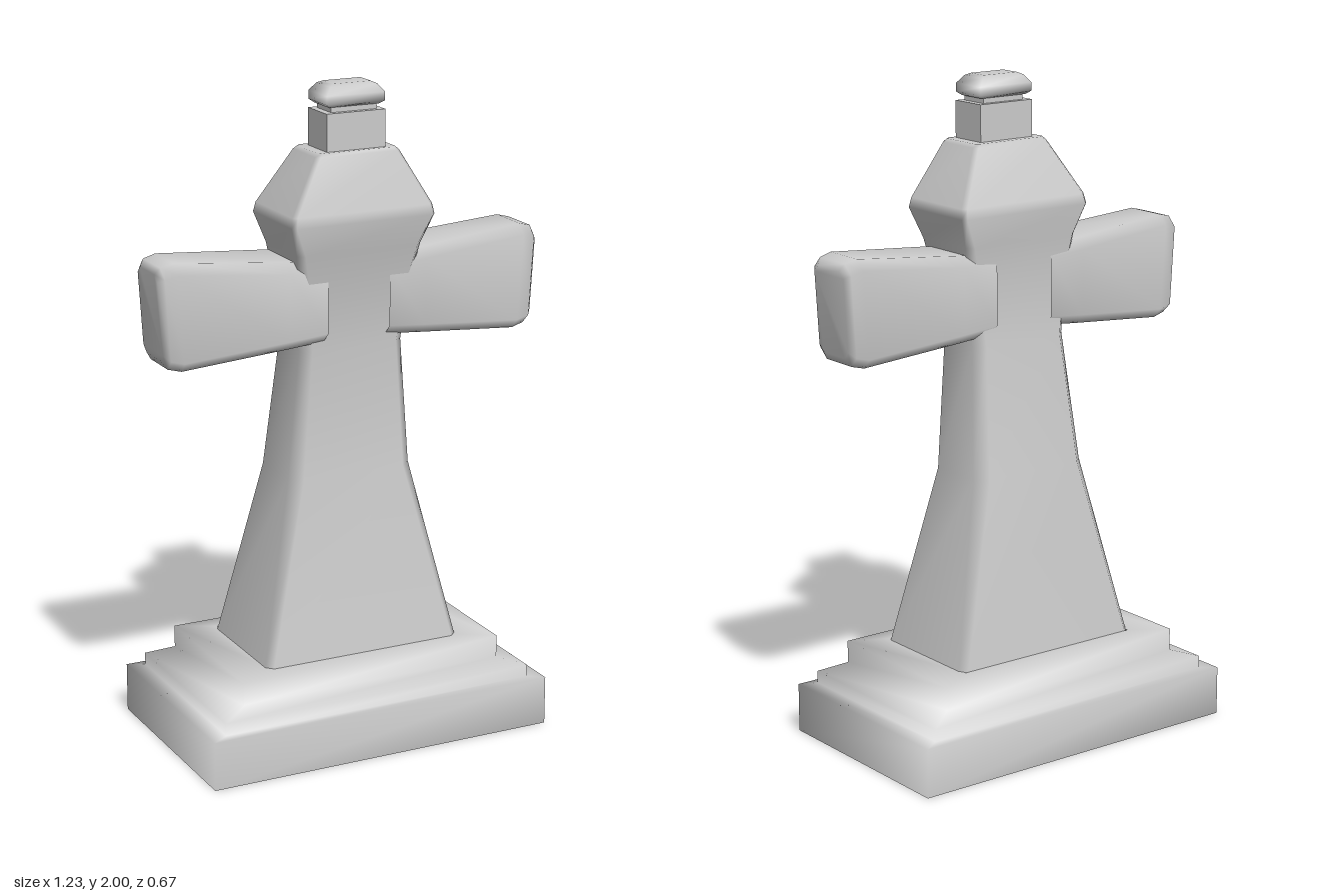
import * as THREE from 'three';

const material = new THREE.MeshStandardMaterial({ color: 0xcccccc, side: THREE.DoubleSide });

// Loft through rectangles [y, x0, x1, z0, z1, chamfer]; smooth normals, optional end caps
function loft(sections, { bottom = false, top = true } = {}) {
  const pos = [], idx = [];
  const n = sections[0][5] ? 8 : 4;
  for (const [y, x0, x1, z0, z1, c = 0] of sections) {
    const ring = n === 4
      ? [[x0, z1], [x1, z1], [x1, z0], [x0, z0]]
      : [[x0 + c, z1], [x1 - c, z1], [x1, z1 - c], [x1, z0 + c],
         [x1 - c, z0], [x0 + c, z0], [x0, z0 + c], [x0, z1 - c]];
    for (const [x, z] of ring) pos.push(x, y, z);
  }
  const last = (sections.length - 1) * n;
  for (let r = 0; r < last; r += n) {
    for (let i = 0; i < n; i++) {
      const a = r + i, b = r + (i + 1) % n;
      idx.push(a, b, b + n, a, b + n, a + n);
    }
  }
  for (let i = 1; i < n - 1; i++) {
    if (top) idx.push(last, last + i, last + i + 1);
    if (bottom) idx.push(0, i + 1, i);
  }
  const geo = new THREE.BufferGeometry();
  geo.setAttribute('position', new THREE.Float32BufferAttribute(pos, 3));
  geo.setIndex(idx);
  geo.computeVertexNormals();
  return geo;
}

// Section symmetric in x
const sym = (y, hx, z0, z1, c) => [y, -hx, hx, z0, z1, c];

export function createModel() {
  const group = new THREE.Group();
  const add = (name, geo) => {
    const mesh = new THREE.Mesh(geo, material);
    mesh.name = name;
    group.add(mesh);
  };

  // Stepped plinth, hollow and open underneath
  add('plinth', loft([
    [0, 0.555, 0.335], [0.15, 0.555, 0.335], [0.152, 0.505, 0.305], [0.19, 0.505, 0.305],
    [0.215, 0.425, 0.257], [0.283, 0.425, 0.257], [0.285, 0.31, 0.19],
  ].map(([y, hx, hz]) => sym(y, hx, -hz, hz)), { top: false }));

  // Tapering shaft that widens into the faceted head
  add('shaftAndHead', loft([
    sym(0.28, 0.32, -0.19, 0.2, 0.02),
    sym(0.83, 0.2, -0.118, 0.127, 0.035),
    sym(1.22, 0.167, -0.066, 0.13, 0.03),
    sym(1.4, 0.18, -0.062, 0.153, 0.025),
    sym(1.52, 0.2, -0.07, 0.178, 0.02),
    sym(1.61, 0.23, -0.085, 0.2, 0.012),
    sym(1.64, 0.225, -0.077, 0.194, 0.012),
    sym(1.8, 0.135, -0.012, 0.157, 0.012),
    sym(1.81, 0.125, -0.005, 0.15, 0.012),
  ], { top: true }));

  // Flared arms: [distance, yLow, yHigh, zBack, zFront, chamfer]
  const armSections = [
    [0.1, 1.25, 1.49, -0.07, 0.16, 0.03],
    [0.22, 1.24, 1.5, -0.073, 0.16, 0.03],
    [0.56, 1.21, 1.53, -0.054, 0.14, 0.03],
    [0.6, 1.22, 1.52, -0.05, 0.135, 0.03],
    [0.615, 1.245, 1.5, -0.03, 0.115, 0.02],
  ];
  for (const side of [1, -1]) {
    const geo = loft(armSections.map(([d, lo, hi, z0, z1, c]) =>
      side > 0 ? [d, -hi, -lo, z0, z1, c] : [d, lo, hi, z0, z1, c]));
    geo.rotateZ(-side * Math.PI / 2);
    // Lean the end faces in towards the bottom
    const p = geo.attributes.position;
    for (let i = 0; i < p.count; i++) {
      if (Math.abs(p.getX(i)) > 0.5) p.setX(i, p.getX(i) - side * 0.06 * (1.5 - p.getY(i)));
    }
    geo.computeVertexNormals();
    add(side > 0 ? 'leftArm' : 'rightArm', geo);
  }

  // Block above the head
  const neck = new THREE.BoxGeometry(0.188, 0.13, 0.122);
  neck.translate(0, 1.855, 0.077);
  add('neck', neck);

  // Recess between block and cap
  const recess = new THREE.BoxGeometry(0.145, 0.04, 0.09);
  recess.translate(0, 1.933, 0.077);
  add('recess', recess);

  // Bevelled cap
  add('cap', loft([
    sym(1.935, 0.08, 0.03, 0.124),
    sym(1.945, 0.093, 0.017, 0.137),
    sym(1.97, 0.093, 0.017, 0.137),
    sym(1.993, 0.075, 0.032, 0.122),
    sym(2, 0.06, 0.045, 0.11),
  ], { bottom: true }));

  return group;
}
